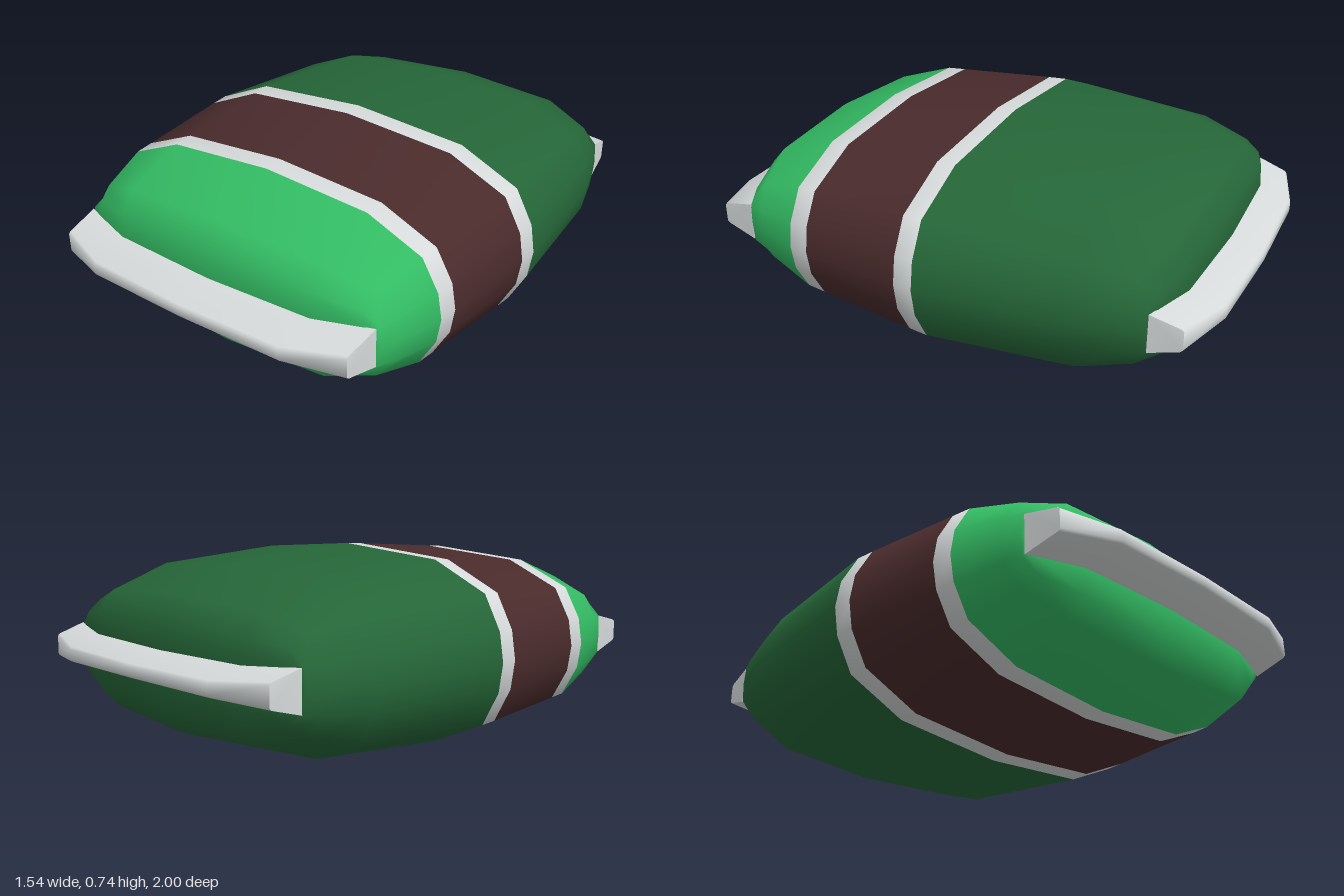
import * as THREE from 'three';
import { toCreasedNormals } from 'three/addons/utils/BufferGeometryUtils.js';

const CENTER_Y = 0.374;
const mat = (name, color) => {
  const m = new THREE.MeshStandardMaterial({ color });
  m.name = name;
  return m;
};

function meshGeometry(positions, index) {
  const g = new THREE.BufferGeometry();
  g.setAttribute('position', new THREE.Float32BufferAttribute(positions, 3));
  g.setIndex(index);
  return g;
}

// Quarter of the widest cross-section, from top centre round to the side
const GIRTH = [[0, 0.37], [0.455, 0.335], [0.685, 0.232], [0.753, 0.107], [0.77, 0]];

// Quarter rings of the rounded end, from the seam outwards: [x, y, z]
const END = [
  [[0, 0, 0.855], [0.42, 0, 0.84], [0.58, 0, 0.8], [0.61, 0, 0.785], [0.625, 0, 0.78]],
  [[0, 0.07, 0.858], [0.42, 0.067, 0.842], [0.59, 0.07, 0.795], [0.63, 0.055, 0.782], [0.635, 0, 0.78]],
  [[0, 0.165, 0.845], [0.42, 0.15, 0.83], [0.585, 0.12, 0.782], [0.638, 0.075, 0.772], [0.645, 0, 0.768]],
  [[0, 0.24, 0.785], [0.42, 0.217, 0.77], [0.6, 0.158, 0.725], [0.66, 0.082, 0.705], [0.67, 0, 0.7]],
];

// Body section that shrinks linearly away from the middle
function section(z, full) {
  const t = Math.abs(z) / full;
  return GIRTH.map(([x, y]) => [x * (1 - 0.065 * t), y * (1 - 0.108 * t), z]);
}

// Mirror a quarter into a closed loop of 16 points
function closeLoop(q) {
  const half = [...q, ...q.slice(0, 4).reverse().map(([x, y, z]) => [x, -y, z])];
  return [...half, ...half.slice(1, 8).reverse().map(([x, y, z]) => [-x, y, z])];
}

function createBody(colours) {
  const backEnd = END.map(q => q.map(([x, y, z]) => [x, y, -z - 0.02])).reverse();
  const rings = [
    ...END,
    section(0.535, 0.535), section(0.46, 0.535), section(0.068, 0.535), section(-0.006, 0.535),
    section(-0.555, 0.555),
    ...backEnd,
  ].map(closeLoop);
  const positions = rings.flat().flatMap(([x, y, z]) => [x, y + CENTER_Y, z]);
  const index = [];
  for (let r = 0; r < rings.length - 1; r++) {
    for (let i = 0; i < 16; i++) {
      const a = r * 16 + i, b = r * 16 + (i + 1) % 16;
      index.push(a, b, a + 16, b, b + 16, a + 16);
    }
  }
  const g = meshGeometry(positions, index);
  g.computeVertexNormals();
  // Colour zones by ring: front, stripe, band, stripe, back
  const zones = [[0, 4, 0], [4, 5, 1], [5, 6, 2], [6, 7, 1], [7, rings.length - 1, 3]];
  for (const [from, to, m] of zones) g.addGroup(from * 96, (to - from) * 96, m);
  return new THREE.Mesh(g, colours);
}

// Tapered seam flap across one end, facing +z
function createSeam(material, shift) {
  const stations = [
    [-0.635, -0.622, 0.78, 0.915], [-0.42, -0.41, 0.84, 0.986], [0, 0, 0.855, 1],
    [0.42, 0.41, 0.84, 0.986], [0.635, 0.622, 0.78, 0.915],
  ];
  const height = z => 0.073 - 0.225 * (z - 0.78);
  const positions = [], index = [];
  for (const [xi, xo, zi, zo] of stations) {
    const hi = height(zi), ho = height(zo), inner = zi + shift;
    const profile = [
      [xi, hi, inner], [xo, ho, zo - 0.008], [xo, ho - 0.008, zo],
      [xo, 0.008 - ho, zo], [xo, -ho, zo - 0.008], [xi, -hi, inner],
    ];
    for (const [x, y, z] of profile) positions.push(x, y, z);
  }
  for (let s = 0; s < 4; s++) {
    for (let i = 0; i < 6; i++) {
      const a = s * 6 + i, b = s * 6 + (i + 1) % 6;
      index.push(a, b, a + 6, b, b + 6, a + 6);
    }
  }
  for (let i = 1; i < 5; i++) {
    index.push(0, i + 1, i, 24, 24 + i, 25 + i);
  }
  const mesh = new THREE.Mesh(toCreasedNormals(meshGeometry(positions, index), 0.9), material);
  mesh.position.y = CENTER_Y;
  return mesh;
}

export function createModel() {
  const group = new THREE.Group();
  group.name = 'wrappedPillow';
  const green = mat('brightGreen', 0x33bb63);
  const white = mat('offWhite', 0xd6dada);
  const brown = mat('darkBrown', 0x4a2b2c);
  const darkGreen = mat('darkGreen', 0x256638);

  const body = createBody([green, white, brown, darkGreen]);
  body.name = 'body';

  const frontSeam = createSeam(white, 0);
  frontSeam.name = 'frontSeam';
  const backSeam = createSeam(white, 0.02);
  backSeam.name = 'backSeam';
  backSeam.rotation.y = Math.PI;

  group.add(body, frontSeam, backSeam);
  return group;
}
